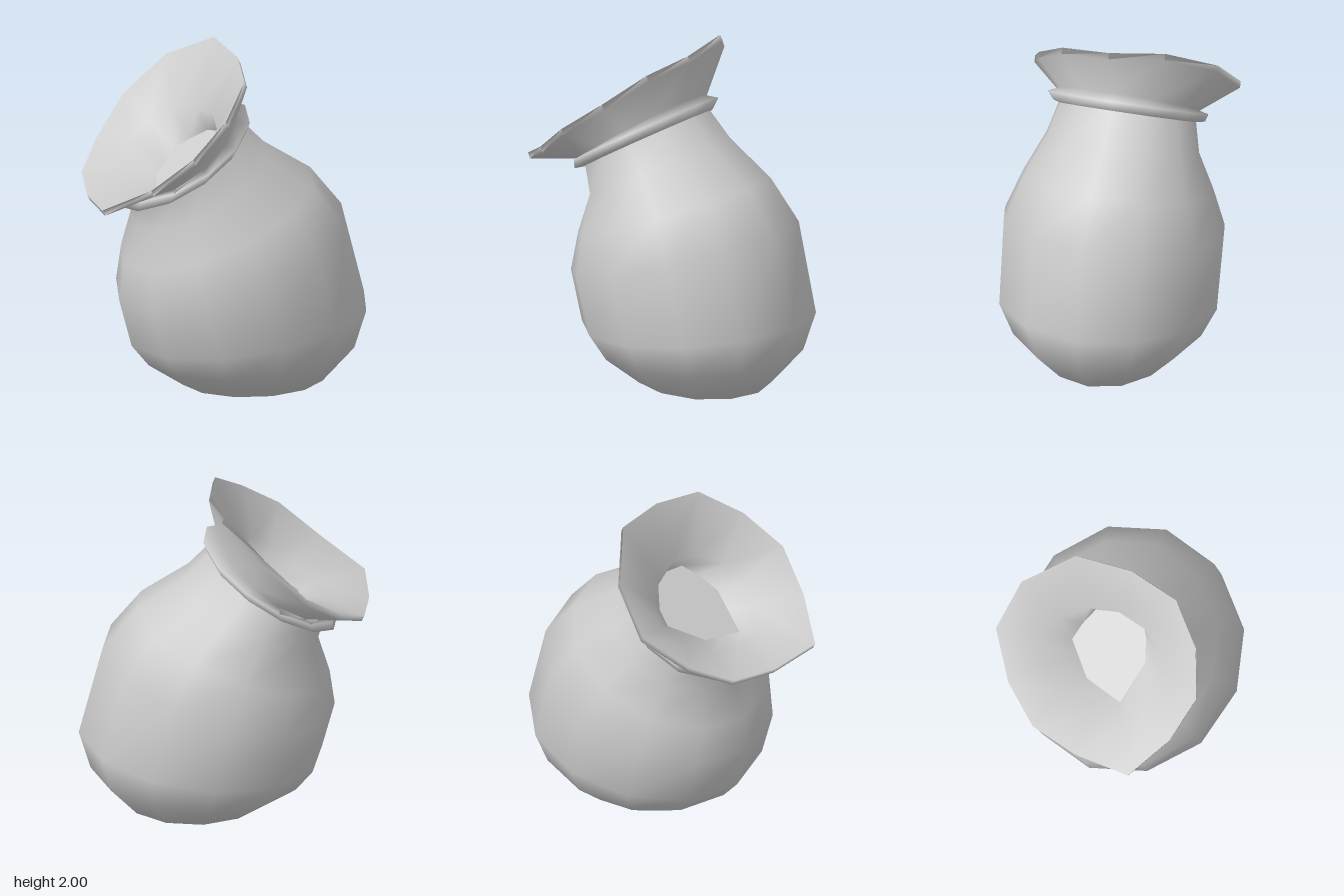
import * as THREE from 'three';

const SIDES = 12;

// Tilted oval ring through a left point and a right point, with a half depth in z
function ring(lx, ly, rx, ry, depth) {
  return Array.from({ length: SIDES }, (_, k) => {
    const a = (k / SIDES) * Math.PI * 2;
    const t = (1 + Math.cos(a)) / 2;
    return [lx + (rx - lx) * t, ly + (ry - ly) * t, Math.sin(a) * depth];
  });
}

// Ring collapsed to its centre, used to close an end
function centreOf(r) {
  const c = [0, 1, 2].map((i) => r.reduce((s, p) => s + p[i], 0) / r.length);
  return r.map(() => c);
}

// Smooth skin over successive rings
function loft(name, rings, material) {
  const index = [];
  for (let i = 0; i < rings.length - 1; i++) {
    for (let k = 0; k < SIDES; k++) {
      const n = (k + 1) % SIDES;
      const a = i * SIDES + k, b = i * SIDES + n;
      const c = a + SIDES, d = b + SIDES;
      index.push(a, c, b, b, c, d);
    }
  }
  const geometry = new THREE.BufferGeometry();
  geometry.setAttribute('position', new THREE.Float32BufferAttribute(rings.flat(2), 3));
  geometry.setIndex(index);
  geometry.computeVertexNormals();
  const mesh = new THREE.Mesh(geometry, material);
  mesh.name = name;
  return mesh;
}

export function createModel() {
  const group = new THREE.Group();
  group.name = 'sack';
  const material = new THREE.MeshStandardMaterial({ color: 0xcccccc, side: THREE.DoubleSide });

  // Bulging body with a flat bottom, leaning further with height up to the tied neck
  const base = ring(-0.25, 0, 0.6, 0, 0.37);
  const neck = ring(-0.585, 1.16, 0.1, 1.59, 0.415);
  group.add(loft('body', [
    centreOf(base),
    base,
    ring(-0.46, 0.14, 0.79, 0.22, 0.56),
    ring(-0.565, 0.27, 0.86, 0.46, 0.65),
    ring(-0.64, 0.55, 0.72, 1.01, 0.66),
    ring(-0.61, 0.77, 0.53, 1.25, 0.57),
    ring(-0.54, 1.01, 0.24, 1.44, 0.46),
    neck,
  ], material));

  // Uneven rim of the flared mouth
  const rim = [
    [0.08, 1.97, 0.02], [0.02, 1.92, 0.32], [-0.16, 1.75, 0.51], [-0.39, 1.57, 0.6],
    [-0.62, 1.38, 0.52], [-0.86, 1.235, 0.35], [-0.845, 1.23, 0.02], [-0.78, 1.27, -0.27],
    [-0.62, 1.4, -0.48], [-0.4, 1.6, -0.64], [-0.16, 1.84, -0.57], [0.045, 2, -0.31],
  ];
  const rimOuter = rim.map(([x, y, z]) => [x + 0.015, y - 0.035, z]);

  // Fold inside the mouth, higher along the back
  const fold = [
    [-0.07, 1.64, 0], [-0.1, 1.6, 0.17], [-0.2, 1.52, 0.3], [-0.32, 1.42, 0.36],
    [-0.43, 1.33, 0.3], [-0.56, 1.25, 0.2], [-0.56, 1.25, 0.01], [-0.54, 1.3, -0.2],
    [-0.47, 1.42, -0.34], [-0.33, 1.51, -0.39], [-0.2, 1.58, -0.32], [-0.1, 1.62, -0.17],
  ];

  // Skewed oval floor deep in the neck, on a tilted plane
  const throat = [
    [0, 0], [-0.02, 0.13], [-0.1, 0.18], [-0.22, 0.22], [-0.33, 0.185], [-0.45, 0.15],
    [-0.42, 0.03], [-0.39, -0.08], [-0.31, -0.155], [-0.23, -0.23], [-0.14, -0.2], [-0.05, -0.15],
  ].map(([x, z]) => [x, 1.38 + 0.65 * (x + 0.22), z]);

  // Tie band, flare, lip and inside of the mouth as one continuous skin
  group.add(loft('tieBandAndMouth', [
    neck,
    ring(-0.655, 1.135, 0.105, 1.6, 0.46),
    ring(-0.64, 1.195, 0.13, 1.67, 0.485),
    ring(-0.575, 1.21, 0.04, 1.675, 0.43),
    rimOuter,
    rim,
    fold,
    throat,
  ], material));
  group.add(loft('throatFloor', [throat, centreOf(throat)], material));

  return group;
}
